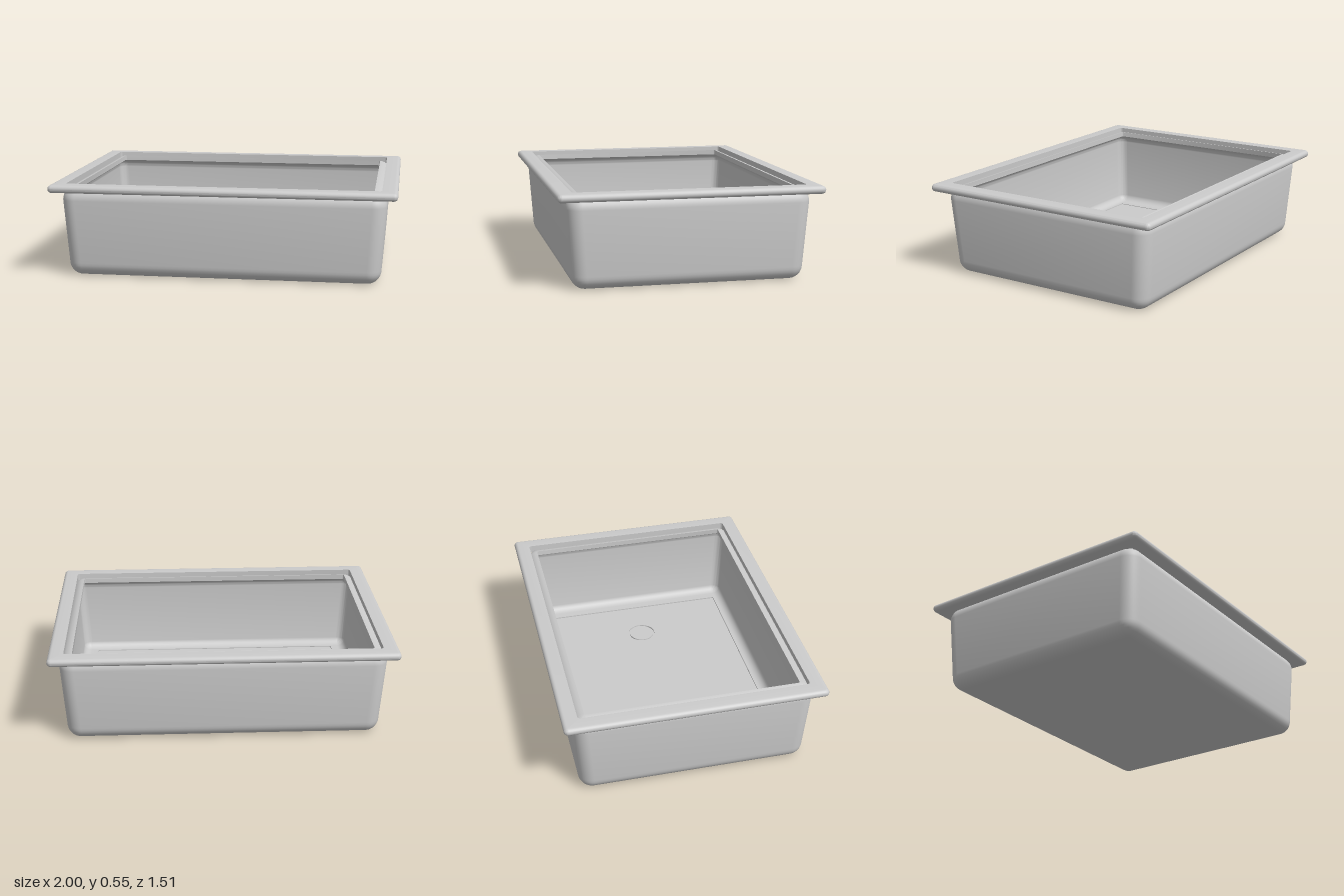
import * as THREE from 'three';
import { toCreasedNormals } from 'three/addons/utils/BufferGeometryUtils.js';

const material = new THREE.MeshStandardMaterial({ color: 0xcccccc, side: THREE.DoubleSide });
const CORNER_STEPS = 10;

// Points of a rounded rectangle with half sizes hx, hz and corner radius r
function outline(hx, hz, r) {
  const points = [];
  for (let corner = 0; corner < 4; corner++) {
    const sx = corner === 0 || corner === 3 ? 1 : -1;
    const sz = corner < 2 ? 1 : -1;
    for (let i = 0; i <= CORNER_STEPS; i++) {
      const a = (corner + i / CORNER_STEPS) * Math.PI / 2;
      points.push([sx * (hx - r) + r * Math.cos(a), sz * (hz - r) + r * Math.sin(a)]);
    }
  }
  return points;
}

// Skin through a list of rings [hx, hz, y, r]
function loft(name, rings) {
  const n = 4 * (CORNER_STEPS + 1);
  const positions = [], index = [];
  rings.forEach(([hx, hz, y, r], k) => {
    for (const [x, z] of outline(hx, hz, r)) positions.push(x, y, z);
    if (k === 0) return;
    for (let j = 0; j < n; j++) {
      const a = (k - 1) * n + j, b = (k - 1) * n + (j + 1) % n;
      index.push(a, a + n, b, b, a + n, b + n);
    }
  });
  const geometry = new THREE.BufferGeometry();
  geometry.setAttribute('position', new THREE.Float32BufferAttribute(positions, 3));
  geometry.setIndex(index);
  const mesh = new THREE.Mesh(toCreasedNormals(geometry, 0.6), material);
  mesh.name = name;
  return mesh;
}

// Rings of a fillet: the corner centre is the half size (cx, cz) at height cy
function fillet(cx, cz, cy, radius, from, to, steps = 8) {
  const rings = [];
  for (let i = 0; i <= steps; i++) {
    const a = THREE.MathUtils.degToRad(from + (to - from) * i / steps);
    const out = radius * Math.cos(a);
    rings.push([cx + out, cz + out, cy + radius * Math.sin(a), Math.max(out, 0) + 0.003]);
  }
  return rings;
}

const FLOOR = 0.03, GROOVE = 0.022;
const PAD_X = 0.49, PAD_R = 0.086;

// Tapered tub with rounded edges, an inward lip and an inner skin
function tub() {
  return loft('tub', [
    [0, 0, 0, 0],
    ...fillet(0.835, 0.59, 0.08, 0.08, -90, 0),
    ...fillet(0.86, 0.615, 0.452, 0.08, 0, 86),
    ...fillet(0.86, 0.615, 0.452, 0.05, 84, 0),
    ...fillet(0.835, 0.59, 0.08, 0.05, 0, -90),
    // rectangular groove in the floor
    [0.79, 0.58, FLOOR, 0.003],
    [0.79, 0.58, GROOVE, 0.003],
    [0.78, 0.57, GROOVE, 0.003],
    [0.78, 0.57, FLOOR, 0.003],
  ]);
}

// Flat flange with a half-round outer edge
function rim() {
  const rings = [[0.91, 0.665, 0.505, 0.015]];
  for (let i = 0; i <= 10; i++) {
    const a = (i / 10 - 0.5) * Math.PI;
    const out = 0.0225 * Math.cos(a);
    rings.push([0.9775 + out, 0.7325 + out, 0.5275 + 0.0225 * Math.sin(a), out + 0.003]);
  }
  rings.push([0.91, 0.665, 0.55, 0.015], [0.91, 0.665, 0.505, 0.015]);
  return loft('rim', rings);
}

// Inner floor panel, cut out where the round grooves sit
function floorPanel() {
  const toVectors = (points) => points.map(([x, z]) => new THREE.Vector2(x, -z));
  const shape = new THREE.Shape(toVectors(outline(0.78, 0.57, 0.003)));
  for (const side of [-1, 1]) {
    const circle = outline(PAD_R, PAD_R, PAD_R).map(([x, z]) => [x + side * PAD_X, z]);
    shape.holes.push(new THREE.Path(toVectors(circle)));
  }
  const geometry = new THREE.ShapeGeometry(shape).rotateX(-Math.PI / 2).translate(0, FLOOR, 0);
  const mesh = new THREE.Mesh(geometry, material);
  mesh.name = 'floorPanel';
  return mesh;
}

// Disc of the floor surrounded by a thin round groove
function roundGroove(side) {
  const inner = PAD_R - 0.008;
  const mesh = loft(side > 0 ? 'leftRoundGroove' : 'rightRoundGroove', [
    [PAD_R, PAD_R, FLOOR, PAD_R],
    [PAD_R, PAD_R, GROOVE, PAD_R],
    [inner, inner, GROOVE, inner],
    [inner, inner, FLOOR, inner],
    [0, 0, FLOOR, 0],
  ]);
  mesh.position.x = side * PAD_X;
  return mesh;
}

export function createModel() {
  const group = new THREE.Group();
  group.name = 'foodTray';
  group.add(tub(), rim(), floorPanel(), roundGroove(1), roundGroove(-1));
  return group;
}
